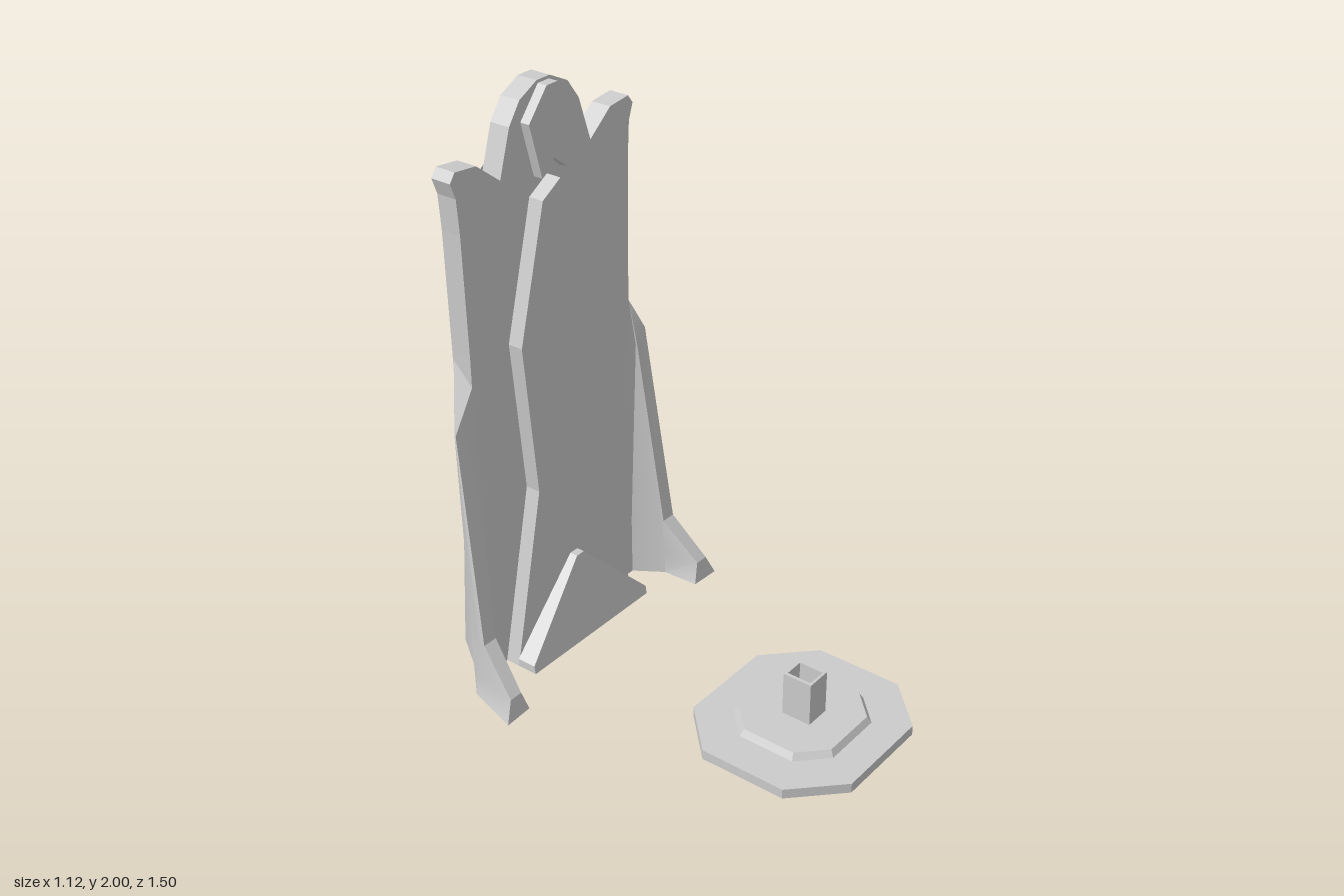
import * as THREE from 'three';
import { toCreasedNormals } from 'three/addons/utils/BufferGeometryUtils.js';

const material = new THREE.MeshStandardMaterial({ color: 0xcccccc });

function addMesh(parent, name, geometry) {
  const mesh = new THREE.Mesh(geometry, material);
  mesh.name = name;
  parent.add(mesh);
  return mesh;
}

// Closed solid through rings of [x, y, z], listed counter-clockwise from above, bottom to top.
function loft(rings, crease = 0.3) {
  const positions = [];
  const tri = (...corners) => {
    const [a, b, c] = corners.map((p) => new THREE.Vector3(...p));
    if (new THREE.Triangle(a, b, c).getArea() > 1e-7) positions.push(...corners.flat());
  };
  const quad = (a, b, c, d) => { tri(a, b, c); tri(a, c, d); };
  const n = rings[0].length;
  for (let r = 0; r < rings.length - 1; r++) {
    for (let i = 0; i < n; i++) {
      const j = (i + 1) % n;
      quad(rings[r][i], rings[r][j], rings[r + 1][j], rings[r + 1][i]);
    }
  }
  const low = rings[0], high = rings[rings.length - 1];
  for (let i = 0; i < n / 2 - 1; i++) {
    const [a, b, c, d] = [i, i + 1, n - 2 - i, n - 1 - i];
    quad(high[a], high[b], high[c], high[d]);
    quad(low[d], low[c], low[b], low[a]);
  }
  const geometry = new THREE.BufferGeometry();
  geometry.setAttribute('position', new THREE.Float32BufferAttribute(positions, 3));
  return toCreasedNormals(geometry, crease);
}

// Flat plate from the right half of an outline (top to bottom), mirrored in x.
function plate(half, zBack, zFront) {
  const left = half.filter(([x]) => x > 0).map(([x, y]) => [-x, y]).reverse();
  const shape = new THREE.Shape([...half, ...left].map(([x, y]) => new THREE.Vector2(x, y)));
  const geometry = new THREE.ExtrudeGeometry(shape, { depth: zFront - zBack, bevelEnabled: false });
  return geometry.translate(0, 0, zBack);
}

// Rectangle with cut corners, as a ring at height y.
function octagon(cx, cz, hx, hz, cut, y) {
  return [[hx, hz - cut], [hx, cut - hz], [hx - cut, -hz], [cut - hx, -hz],
    [-hx, cut - hz], [-hx, hz - cut], [cut - hx, hz], [hx - cut, hz]]
    .map(([x, z]) => [cx + x, y, cz + z]);
}

export function createModel() {
  const model = new THREE.Group();
  model.name = 'monument';

  const slab = new THREE.Group();
  slab.name = 'standingSlab';
  model.add(slab);

  // Main slab with a rounded crown and two horned shoulders
  addMesh(slab, 'mainSlab', plate([
    [0.03, 2], [0.11, 1.96], [0.16, 1.89], [0.21, 1.735], [0.31, 1.815], [0.4, 1.825],
    [0.422, 1.795], [0.402, 1.74], [0.394, 1.62], [0.385, 1.2], [0.385, 0],
  ], -0.635, -0.56));

  // Raised panel and crest on the front
  addMesh(slab, 'frontPanel', plate([
    [0, 1.69], [0.085, 1.64], [0.21, 1.18], [0.16, 0.63], [0.3, 0],
  ], -0.56, -0.505));
  addMesh(slab, 'crest', plate([
    [0.025, 1.99], [0.11, 1.89], [0.06, 1.7], [0, 1.75],
  ], -0.56, -0.525));

  // Triangular foot whose front leans back towards its tip
  const foot = plate([[0.018, 0.313], [0.3, 0.03], [0.3, 0]], -0.505, -0.43);
  const p = foot.attributes.position;
  for (let i = 0; i < p.count; i++) {
    if (p.getZ(i) > -0.45) p.setZ(i, -0.43 - 0.045 * p.getY(i) / 0.313);
  }
  foot.computeVertexNormals();
  addMesh(slab, 'footWedge', foot);

  // Bulging back: [y at edge, y at side, y at middle, side x, side z, middle z]
  const backRows = [
    [0, 0, 0, 0.3, -0.755, -0.755],
    [0.6, 0.6, 0.6, 0.24, -0.715, -0.718],
    [1.2, 1.2, 1.2, 0.21, -0.71, -0.716],
    [1.5, 1.5, 1.56, 0.2, -0.675, -0.715],
    [1.65, 1.72, 1.89, 0.19, -0.635, -0.635],
  ].map(([ye, ys, ym, sx, sz, mz]) => [
    [0.385, ye, -0.635], [sx, ys, sz], [0, ym, mz],
    [-sx, ys, sz], [-0.385, ye, -0.635], [0, ym, -0.635],
  ]);
  addMesh(slab, 'backShell', loft(backRows, 1.05));

  // Side wings: inner root, inner middle, inner front, outer front, outer middle, outer root
  const wing = [
    [[0.38, 0, -0.56], [0.445, 0, -0.46], [0.45, 0, -0.325],
      [0.56, 0, -0.32], [0.5, 0, -0.515], [0.385, 0, -0.635]],
    [[0.38, 0.08, -0.56], [0.445, 0.08, -0.46], [0.475, 0.075, -0.335],
      [0.525, 0.075, -0.335], [0.5, 0.08, -0.51], [0.385, 0.08, -0.635]],
    [[0.38, 0.22, -0.56], [0.443, 0.22, -0.475], [0.445, 0.22, -0.465],
      [0.5, 0.22, -0.465], [0.5, 0.22, -0.485], [0.385, 0.22, -0.635]],
    [[0.38, 0.92, -0.56], [0.413, 0.92, -0.555], [0.415, 0.92, -0.55],
      [0.47, 0.965, -0.56], [0.47, 0.965, -0.565], [0.385, 0.965, -0.635]],
    [[0.38, 1.1, -0.56], [0.385, 1.1, -0.56], [0.385, 1.1, -0.56],
      [0.387, 1.18, -0.63], [0.387, 1.18, -0.63], [0.385, 1.18, -0.635]],
  ];
  const mirrored = wing.map((ring) => ring.map(([x, y, z]) => [-x, y, z]).reverse());
  addMesh(slab, 'leftWing', loft(wing, 0.5));
  addMesh(slab, 'rightWing', loft(mirrored, 0.5));

  // Separate octagonal plinth with a chamfered step
  const plinth = new THREE.Group();
  plinth.name = 'plinth';
  model.add(plinth);
  const cx = 0.027, cz = 0.438;
  addMesh(plinth, 'plinthBase', loft([0, 0.035].map((y) => octagon(cx, cz, 0.333, 0.31, 0.155, y))));
  addMesh(plinth, 'plinthStep', loft([
    octagon(cx, cz, 0.204, 0.195, 0.093, 0.035),
    octagon(cx, cz, 0.19, 0.182, 0.087, 0.058),
  ]));

  // Hollow square post
  const rectangle = (Type, w, h) => new Type([[-w, -h], [w, -h], [w, h], [-w, h]]
    .map(([x, y]) => new THREE.Vector2(x, y)));
  const profile = rectangle(THREE.Shape, 0.046, 0.053);
  profile.holes.push(rectangle(THREE.Path, 0.034, 0.044));
  const post = new THREE.ExtrudeGeometry(profile, { depth: 0.157, bevelEnabled: false });
  addMesh(plinth, 'post', post.rotateX(-Math.PI / 2).translate(cx, 0.058, 0.443));

  return model;
}
